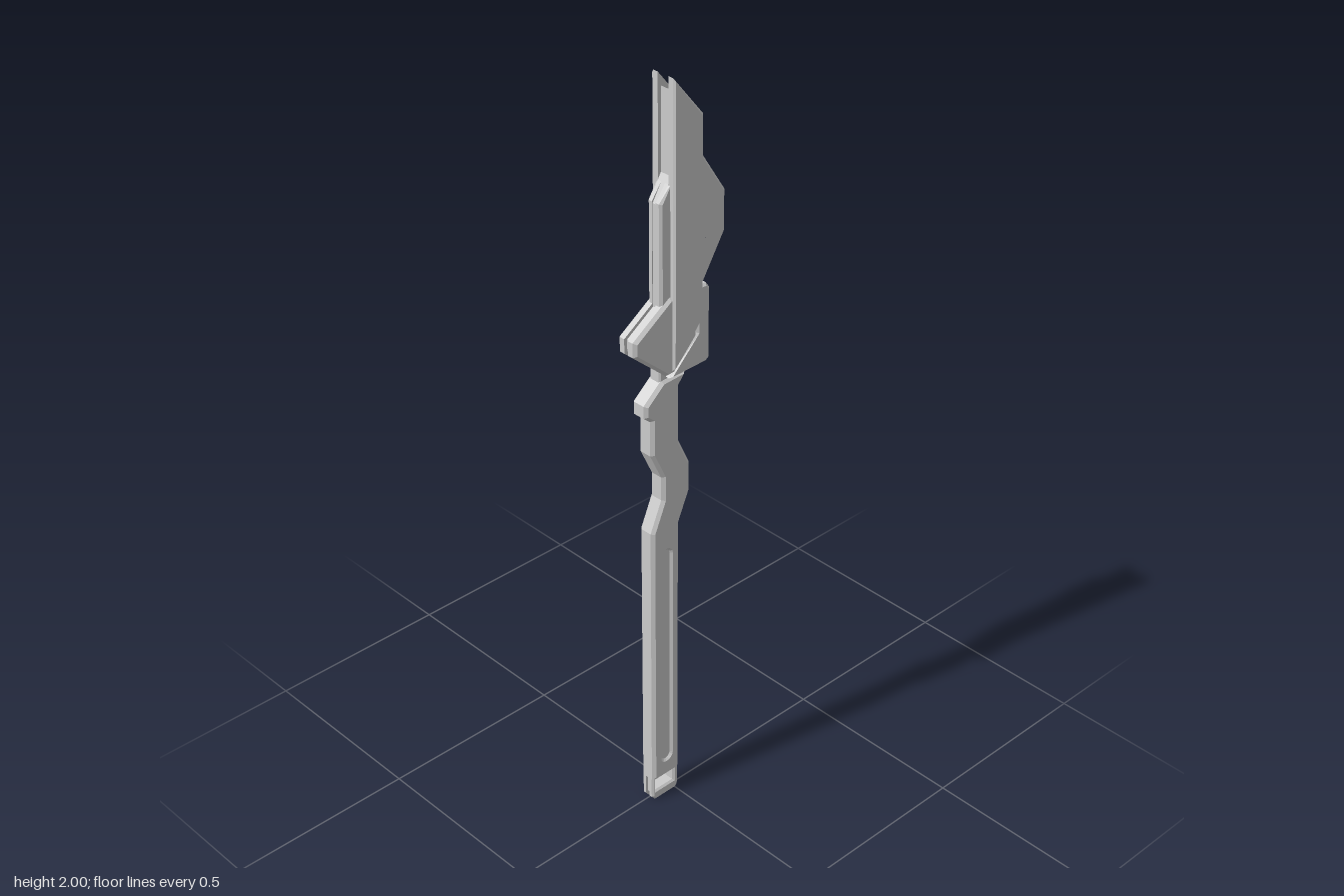
import * as THREE from 'three';

const material = new THREE.MeshStandardMaterial({ color: 0xcccccc, flatShading: true });

// Side outlines are lists of [z, y]; the shape's x axis runs along -z.
const toPoints = (pts) => pts.map(([z, y]) => new THREE.Vector2(-z, y));

// Chamfered slab spanning -half..half in x, with optional holes.
function slab(outline, half, bevel, holes = []) {
  const shape = new THREE.Shape(toPoints(outline));
  for (const h of holes) shape.holes.push(new THREE.Path(toPoints(h)));
  const geo = new THREE.ExtrudeGeometry(shape, {
    depth: 2 * (half - bevel), bevelEnabled: bevel > 0, bevelSegments: 1,
    bevelThickness: bevel, bevelSize: bevel, bevelOffset: -bevel, curveSegments: 8,
  });
  geo.translate(0, 0, -(half - bevel));
  geo.rotateY(Math.PI / 2);
  return geo;
}

function add(group, name, geo) {
  geo.computeVertexNormals();
  const mesh = new THREE.Mesh(geo, material);
  mesh.name = name;
  group.add(mesh);
}

// Mirrored pair of plates from x = inner to x = outer, chamfered outside only.
function addPair(group, name, outline, inner, outer, bevel, holes) {
  for (const side of [1, -1]) {
    const geo = slab(outline, outer, bevel, holes);
    const p = geo.attributes.position;
    for (let i = 0; i < p.count; i++) {
      p.setX(i, side * Math.max(side * p.getX(i), inner));
    }
    add(group, (side > 0 ? 'left' : 'right') + name, geo);
  }
}

// Ellipse or small polygon as a hole outline.
function ring(z, y, rz, ry, n = 10, turn = 0) {
  return Array.from({ length: n }, (_, i) => {
    const a = turn + (i / n) * Math.PI * 2;
    return [z + rz * Math.cos(a), y + ry * Math.sin(a)];
  });
}

// Upright slot with round ends.
function capsule(z, y0, y1, r) {
  const pts = [];
  for (let i = 0; i <= 8; i++) pts.push([z + r * Math.cos(i * Math.PI / 8), y1 - r + r * Math.sin(i * Math.PI / 8)]);
  for (let i = 0; i <= 8; i++) pts.push([z - r * Math.cos(i * Math.PI / 8), y0 + r - r * Math.sin(i * Math.PI / 8)]);
  return pts;
}

export function createModel() {
  const model = new THREE.Group();
  model.name = 'bladedStaff';

  // Blade: two outer plates over a recessed core, pierced by six holes
  const holes = [
    ring(-0.05, 1.72, 0.014, 0.018),
    ring(-0.019, 1.677, 0.014, 0.013, 3, 0.5),
    ring(-0.078, 1.677, 0.014, 0.014, 3, 2.2),
    ring(-0.018, 1.582, 0.014, 0.017, 6),
    ring(-0.08, 1.583, 0.015, 0.017),
    ring(-0.05, 1.535, 0.014, 0.017),
  ];
  addPair(model, 'BladePlate', [
    [0.021, 2], [-0.069, 1.89], [-0.069, 1.79], [-0.137, 1.685], [-0.137, 1.583],
    [-0.071, 1.475], [-0.071, 1.38], [0.021, 1.275],
  ], 0.017, 0.037, 0.006, holes.map((h) => h));
  add(model, 'bladeCore', slab([
    [0.012, 1.965], [-0.058, 1.885], [-0.058, 1.785], [-0.125, 1.682], [-0.125, 1.587],
    [-0.06, 1.478], [-0.06, 1.38], [0.012, 1.3], [0.048, 1.3], [0.048, 1.7], [0.012, 1.76],
  ], 0.0175, 0, holes));
  addPair(model, 'FrontRail', [
    [0.01, 1.76], [0.01, 1.4], [0.05, 1.4], [0.05, 1.705],
  ], 0.006, 0.022, 0.006);

  // Guard: split body with a pointed front
  addPair(model, 'Guard', [
    [0.025, 1.465], [0.01, 1.465], [-0.06, 1.38], [-0.06, 1.262], [0.035, 1.262],
    [0.137, 1.352], [0.137, 1.39],
  ], 0.006, 0.029, 0.008);
  add(model, 'guardCore', slab([
    [0.025, 1.455], [-0.05, 1.455], [-0.08, 1.44], [-0.08, 1.27], [0.03, 1.27],
    [0.128, 1.355], [0.128, 1.386],
  ], 0.007, 0));

  // Back lugs behind the guard
  addPair(model, 'BackLug', [
    [-0.055, 1.465], [-0.085, 1.465], [-0.096, 1.45], [-0.096, 1.265], [-0.085, 1.257],
    [0.03, 1.257], [-0.055, 1.345],
  ], 0.008, 0.033, 0.006);

  // Neck between guard and handle
  add(model, 'neck', slab([
    [0.05, 1.275], [0.05, 1.24], [0.07, 1.2], [0, 1.2], [-0.012, 1.22], [-0.045, 1.258], [-0.045, 1.275],
  ], 0.017, 0.004));

  // Handle with a wavy grip, a front catch and a long slot in each side
  add(model, 'handle', slab([
    [0.045, 1.252], [0.1, 1.205], [0.1, 1.172], [0.08, 1.155], [0.08, 1.06], [0.045, 0.985],
    [0.045, 0.92], [0.08, 0.838], [0.08, 0.07], [-0.01, 0.07], [-0.01, 0.835],
    [-0.045, 0.915], [-0.045, 0.99], [-0.01, 1.065], [-0.01, 1.222], [-0.03, 1.252],
  ], 0.024, 0.008, [capsule(0.035, 0.12, 0.77, 0.013)]));
  const panel = new THREE.BoxGeometry(0.036, 0.69, 0.05);
  panel.translate(0, 0.445, 0.035);
  add(model, 'slotFloor', panel);

  // Pommel: forked end with a lanyard opening
  const opening = [[0.068, 0.03], [0.008, 0.03], [0.008, 0.064], [0.068, 0.064]];
  addPair(model, 'PommelFork', [
    [0.08, 0.08], [0.08, 0.012], [0.07, 0], [0, 0], [-0.009, 0.012], [-0.009, 0.08],
  ], 0.006, 0.02, 0.005, [opening]);
  add(model, 'pommelCore', slab([
    [0.074, 0.08], [0.074, 0.018], [-0.003, 0.018], [-0.003, 0.08],
  ], 0.007, 0, [opening]));

  return model;
}
